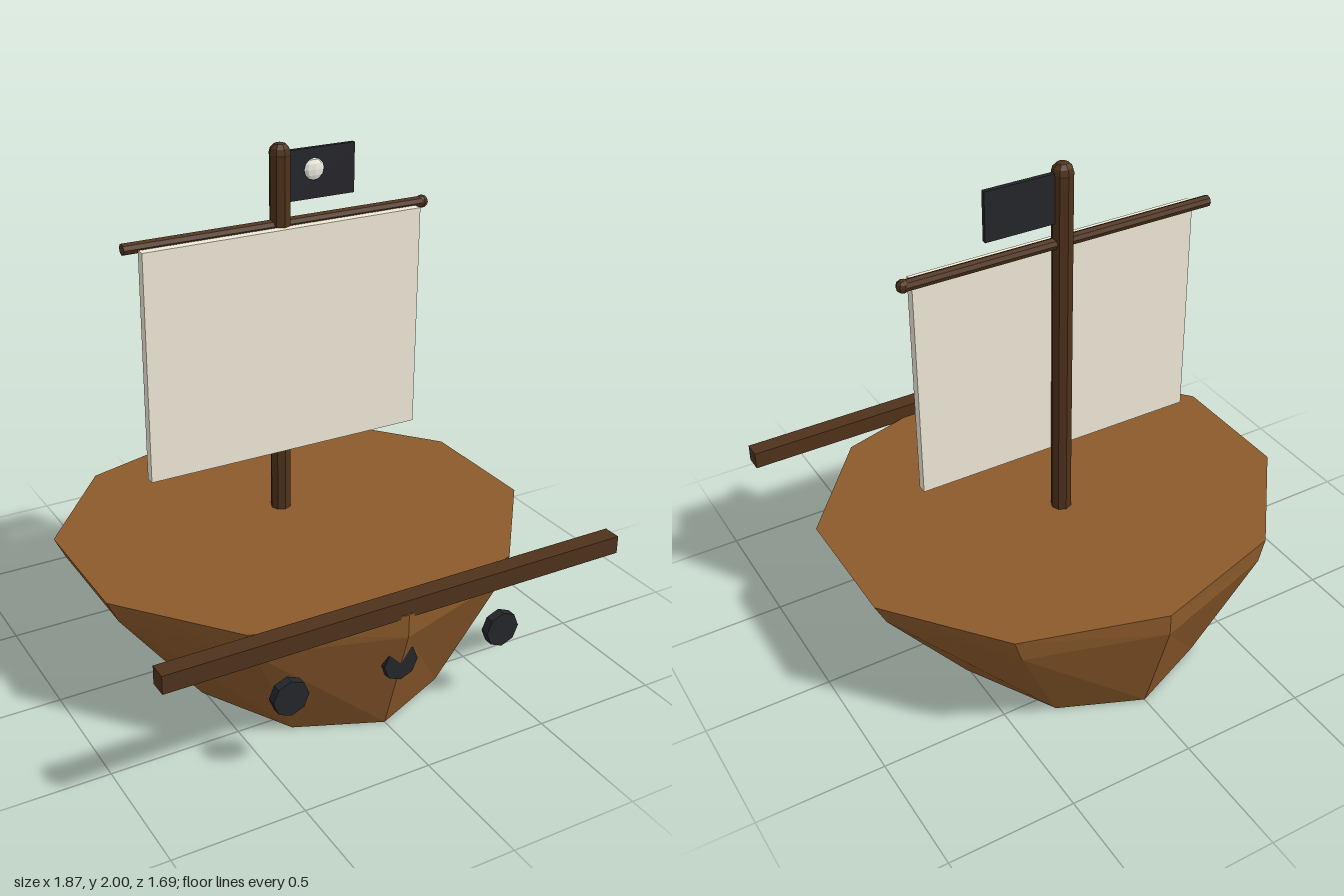
import * as THREE from 'three';

const mat = (color) => new THREE.MeshStandardMaterial({ color, flatShading: true });

// Closed low-poly hull lofted through elliptical rings, bottom to top.
function loftHull(rings, sides) {
  const pos = [], idx = [];
  for (const [y, rx, rz] of rings) {
    for (let i = 0; i < sides; i++) {
      const a = (i / sides) * Math.PI * 2;
      pos.push(Math.sin(a) * rx, y, Math.cos(a) * rz);
    }
  }
  for (let r = 0; r < rings.length - 1; r++) {
    for (let i = 0; i < sides; i++) {
      const j = (i + 1) % sides;
      const b0 = r * sides + i, b1 = r * sides + j;
      const t0 = b0 + sides, t1 = b1 + sides;
      idx.push(b0, b1, t0, b1, t1, t0);
    }
  }
  // Flat bottom and deck
  const top = (rings.length - 1) * sides;
  for (let i = 1; i < sides - 1; i++) {
    idx.push(0, i + 1, i);
    idx.push(top, top + i, top + i + 1);
  }
  const geo = new THREE.BufferGeometry();
  geo.setAttribute('position', new THREE.Float32BufferAttribute(pos, 3));
  geo.setIndex(idx);
  const flat = geo.toNonIndexed();
  flat.computeVertexNormals();
  return flat;
}

export function createModel() {
  const ship = new THREE.Group();
  ship.name = 'sailingShip';

  const hullWood = mat(0x8b5a2b), darkWood = mat(0x4f321b);
  const cloth = mat(0xf0ead8), black = mat(0x25262b), bone = mat(0xf0eee4);

  const add = (name, geo, material, x = 0, y = 0, z = 0) => {
    const mesh = new THREE.Mesh(geo, material);
    mesh.name = name;
    mesh.position.set(x, y, z);
    ship.add(mesh);
    return mesh;
  };
  const mastZ = -0.088;

  // Hull with a short upright band below the deck
  add('hull', loftHull([[0, 0.536, 0.71], [0.445, 0.89, 0.845], [0.535, 0.936, 0.845]], 10), hullWood);

  // Cross rail over the bow
  add('bowRail', new THREE.BoxGeometry(1.87, 0.07, 0.07), darkWood, 0, 0.555, 0.802);

  // Ports along the bow
  for (const x of [-0.445, 0, 0.445]) {
    const port = add('port', new THREE.CylinderGeometry(0.07, 0.07, 0.035, 8), black, x, 0.315, 0.787);
    port.rotation.x = Math.PI / 2;
  }

  // Mast and its rounded cap
  add('mast', new THREE.CylinderGeometry(0.04, 0.04, 1.44, 8), darkWood, 0, 1.24, mastZ);
  add('mastCap', new THREE.SphereGeometry(0.042, 8, 6), darkWood, 0, 1.958, mastZ);

  // Yard with a knob on its left end
  const yard = add('yard', new THREE.CylinderGeometry(0.022, 0.022, 1.25, 8), darkWood, 0, 1.695, mastZ);
  yard.rotation.z = Math.PI / 2;
  add('yardKnob', new THREE.SphereGeometry(0.025, 8, 6), darkWood, 0.62, 1.695, mastZ);

  // Sail hung in front of the mast
  add('sail', new THREE.BoxGeometry(1.15, 0.888, 0.036), cloth, 0, 1.247, -0.045);

  // Flag with a pale faceted disc
  add('flag', new THREE.BoxGeometry(0.28, 0.19, 0.018), black, 0.17, 1.87, mastZ);
  const emblem = add('flagEmblem', new THREE.SphereGeometry(0.042, 8, 6), bone, 0.133, 1.888, -0.07);
  emblem.scale.z = 0.35;

  return ship;
}
